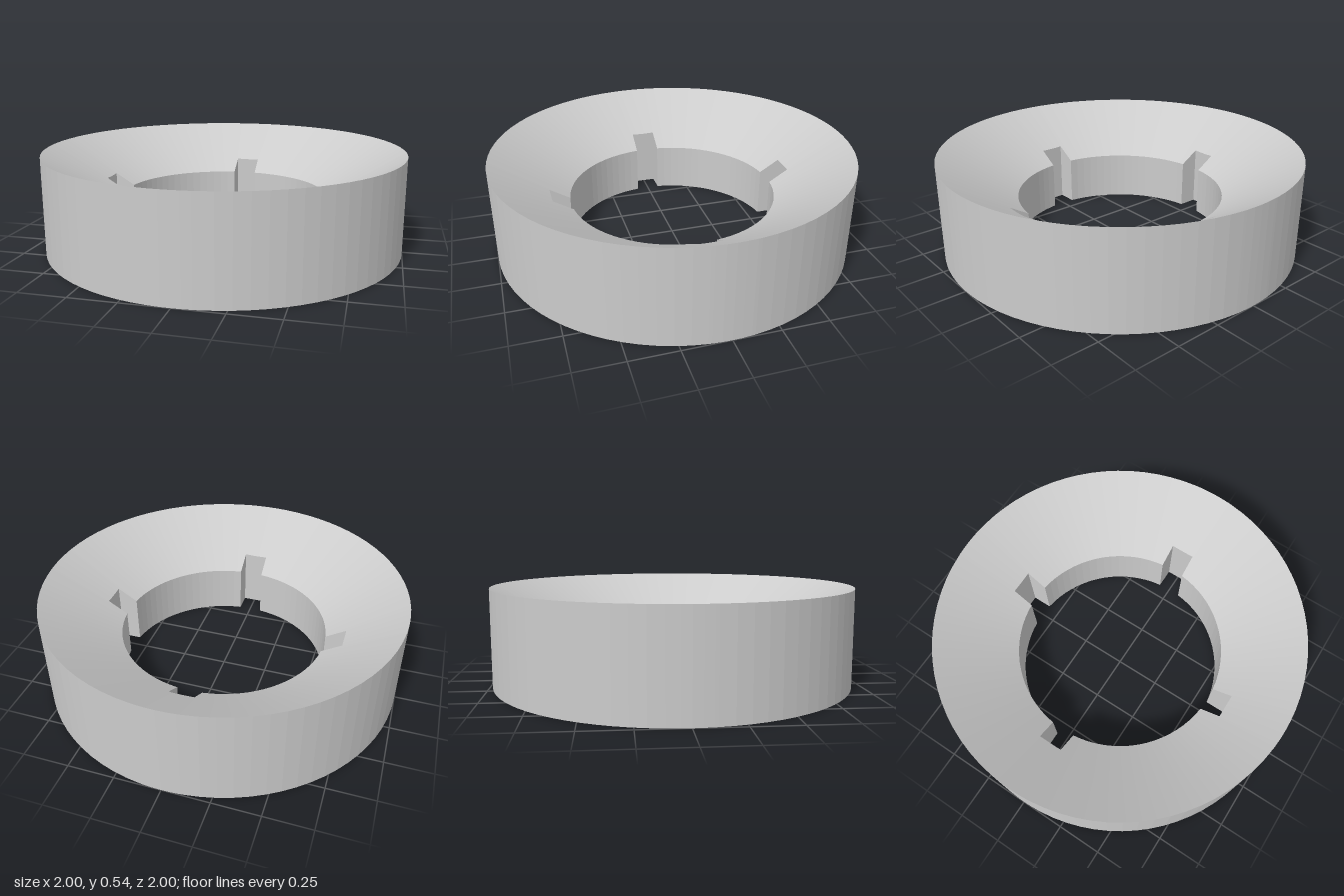
import * as THREE from 'three';

const OUTER = 1, BORE = 0.576, HEIGHT = 0.535, BORE_HEIGHT = 0.276;
const SLOT_END = 0.682, SLOT_HALF = 0.067;
const seatHeight = (r) => BORE_HEIGHT + (HEIGHT - BORE_HEIGHT) * (r - BORE) / (OUTER - BORE);

// Angle and inner radius all the way round: four slots joined by bore arcs
function innerOutline() {
  const endAngle = Math.atan(SLOT_HALF / SLOT_END);
  const boreAngle = Math.asin(SLOT_HALF / BORE);
  const arcSteps = 17, endSteps = 4, out = [];
  for (let q = 0; q < 4; q++) {
    const base = q * Math.PI / 2;
    for (let i = 0; i <= endSteps; i++) {
      const a = endAngle * (2 * i / endSteps - 1);
      out.push([base + a, SLOT_END / Math.cos(a)]);
    }
    for (let i = 0; i <= arcSteps; i++) {
      out.push([base + boreAngle + (Math.PI / 2 - 2 * boreAngle) * i / arcSteps, BORE]);
    }
  }
  return out;
}

// Closed band between two edges of the cross-section, each given as [radius, y]
function band(name, outline, from, to, smooth, material) {
  const pos = [], index = [], n = outline.length;
  for (const [a, r] of outline) {
    for (const [rad, y] of [from(r), to(r)]) pos.push(rad * Math.cos(a), y, rad * Math.sin(a));
  }
  for (let i = 0; i < n; i++) {
    const a = 2 * i, d = 2 * ((i + 1) % n);
    index.push(a, a + 1, d + 1, a, d + 1, d);
  }
  let geometry = new THREE.BufferGeometry();
  geometry.setAttribute('position', new THREE.Float32BufferAttribute(pos, 3));
  geometry.setIndex(index);
  if (!smooth) geometry = geometry.toNonIndexed();
  geometry.computeVertexNormals();
  const mesh = new THREE.Mesh(geometry, material);
  mesh.name = name;
  return mesh;
}

export function createModel() {
  const group = new THREE.Group();
  group.name = 'slottedSeatRing';
  const material = new THREE.MeshStandardMaterial({ color: 0xcccccc });
  const outline = innerOutline();

  // Corners of the cross-section
  const innerBottom = (r) => [r, 0];
  const outerBottom = () => [OUTER, 0];
  const outerTop = () => [OUTER, HEIGHT];
  const innerTop = (r) => [r, seatHeight(r)];

  group.add(
    band('bottomFace', outline, innerBottom, outerBottom, false, material),
    band('outerWall', outline, outerBottom, outerTop, false, material),
    band('conicalSeat', outline, outerTop, innerTop, true, material),
    band('slottedBore', outline, innerTop, innerBottom, false, material)
  );
  return group;
}
